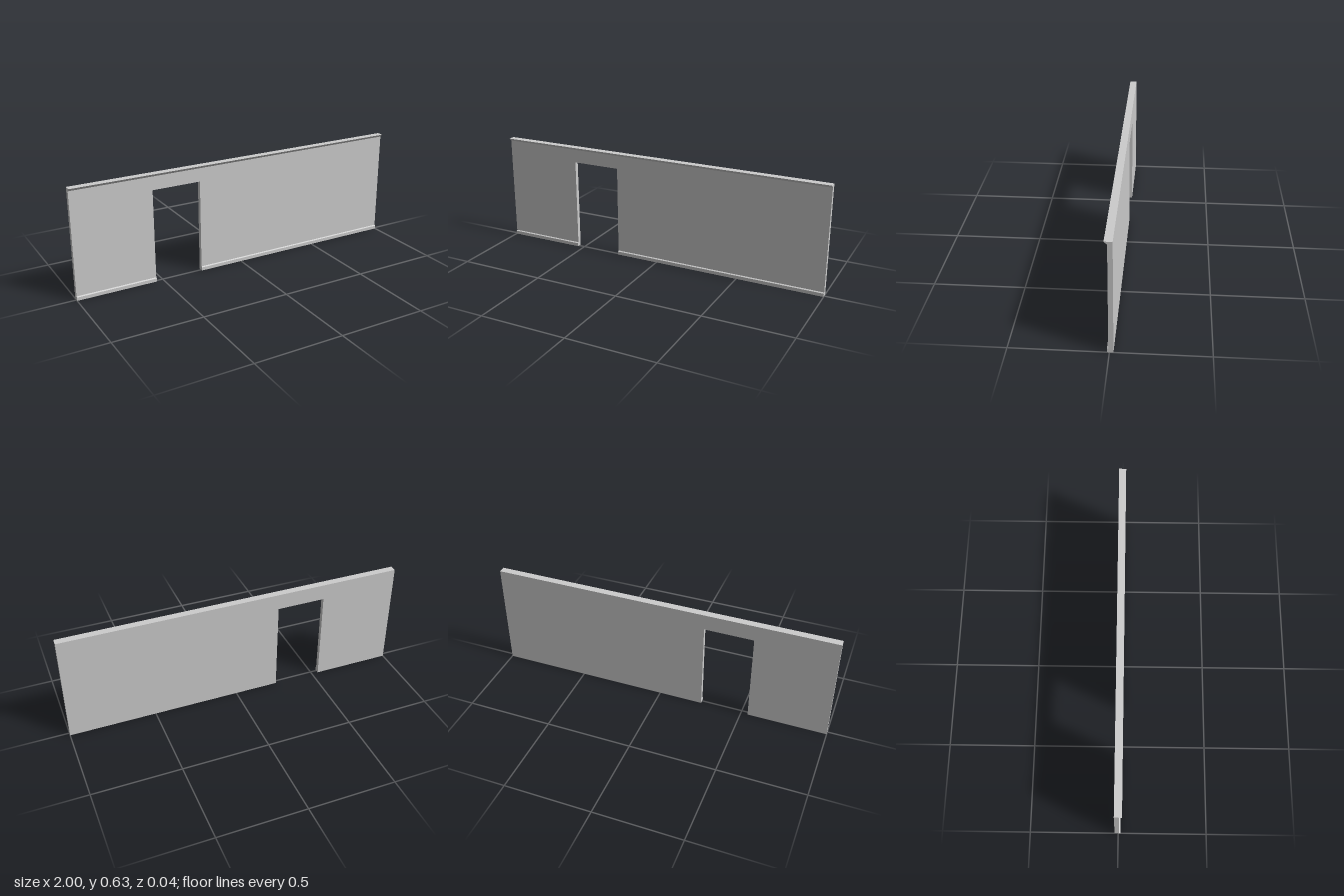
import * as THREE from 'three';

const HALF = 1, HEIGHT = 0.63;
const BACK = -0.02, FACE = 0.005;
const DOOR = { left: -0.54, right: -0.257, top: 0.537 };

const material = new THREE.MeshStandardMaterial({ color: 0xcccccc, flatShading: true });

const toShape = (points) => new THREE.Shape(points.map(([x, y]) => new THREE.Vector2(x, y)));

function extrude(name, points, depth) {
  const geometry = new THREE.ExtrudeGeometry(toShape(points), { depth, bevelEnabled: false });
  const mesh = new THREE.Mesh(geometry, material);
  mesh.name = name;
  return mesh;
}

// Runs a (z, y) trim profile along x from x0 to x1
function trim(name, profile, x0, x1) {
  const mesh = extrude(name, profile, x1 - x0);
  mesh.geometry.rotateY(-Math.PI / 2).translate(x1, 0, 0);
  return mesh;
}

export function createModel() {
  const group = new THREE.Group();
  group.name = 'wallWithDoorway';

  // Wall panel with the doorway cut up from the floor
  const wall = extrude('wall', [
    [-HALF, 0], [DOOR.left, 0], [DOOR.left, DOOR.top], [DOOR.right, DOOR.top],
    [DOOR.right, 0], [HALF, 0], [HALF, HEIGHT], [-HALF, HEIGHT],
  ], FACE - BACK);
  wall.geometry.translate(0, 0, BACK);
  group.add(wall);

  // Sloped crown moulding along the top of the front
  group.add(trim('crownMoulding', [[FACE, 0.614], [0.021, HEIGHT], [FACE, HEIGHT]], -HALF, HALF));

  // Chamfered skirting on both sides of the doorway
  const skirting = [[FACE, 0], [0.012, 0], [0.012, 0.019], [FACE, 0.0235]];
  group.add(trim('rightSkirting', skirting, -HALF, DOOR.left));
  group.add(trim('leftSkirting', skirting, DOOR.right, HALF));

  return group;
}
